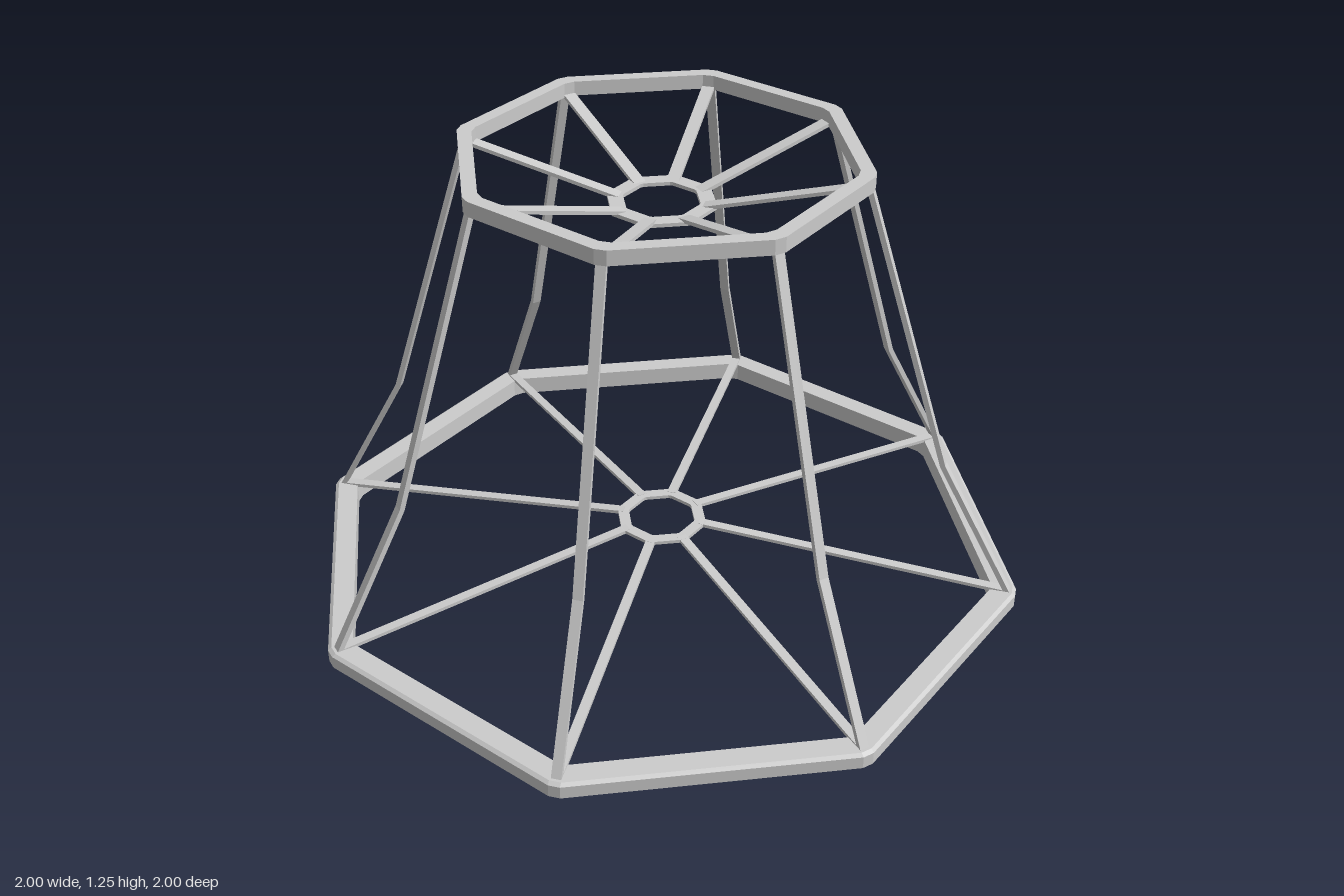
import * as THREE from 'three';

const SIDES = 8;
const material = new THREE.MeshStandardMaterial({ color: 0xcccccc, flatShading: true });

// Octagonal ring with clipped corners, swept from a closed [radius, y] profile
// (profile runs counter-clockwise with radius to the right, y up).
function ring(name, profile, clip) {
  const sections = [];
  for (let i = 0; i < SIDES; i++) {
    const a = (i / SIDES) * Math.PI * 2;
    for (const t of [-clip, clip]) {
      sections.push(profile.map(([r, y]) => [
        Math.sin(a) * r + Math.cos(a) * t, y, Math.cos(a) * r - Math.sin(a) * t,
      ]));
    }
  }
  const pos = [];
  sections.forEach((s, i) => {
    const n = sections[(i + 1) % sections.length];
    s.forEach((p, j) => {
      const k = (j + 1) % s.length;
      pos.push(...p, ...n[j], ...n[k], ...p, ...n[k], ...s[k]);
    });
  });
  const geo = new THREE.BufferGeometry();
  geo.setAttribute('position', new THREE.Float32BufferAttribute(pos, 3));
  geo.computeVertexNormals();
  const mesh = new THREE.Mesh(geo, material);
  mesh.name = name;
  return mesh;
}

// Flat bar following a bent centre line of [radius, y] points, in the x = 0 plane.
function bar(name, line, width, thick) {
  const offsets = line.map((p, i) => {
    const a = line[Math.max(i - 1, 0)];
    const b = line[Math.min(i + 1, line.length - 1)];
    const dz = b[0] - a[0], dy = b[1] - a[1];
    const len = Math.hypot(dz, dy);
    return [(-dy / len) * thick / 2, (dz / len) * thick / 2];
  });
  const side = (s) => line.map(([r, y], i) => new THREE.Vector2(r + s * offsets[i][0], y + s * offsets[i][1]));
  const shape = new THREE.Shape([...side(1), ...side(-1).reverse()]);
  const geo = new THREE.ExtrudeGeometry(shape, { depth: width, bevelEnabled: false });
  geo.translate(0, 0, -width / 2);
  geo.rotateY(-Math.PI / 2);
  const mesh = new THREE.Mesh(geo, material);
  mesh.name = name;
  return mesh;
}

export function createModel() {
  const model = new THREE.Group();
  model.name = 'lampshadeFrame';

  // Large lower and small upper rims
  model.add(ring('bottomRim', [
    [0.93, 0], [0.987, 0], [1, 0.012], [1, 0.048], [0.99, 0.055], [0.93, 0.055],
  ], 0.015));
  model.add(ring('topRim', [
    [0.495, 1.21], [0.535, 1.21], [0.535, 1.25], [0.495, 1.25],
  ], 0.015));

  // Thin central hubs
  model.add(ring('bottomHub', [[0.095, 0.108], [0.128, 0.108], [0.128, 0.118], [0.095, 0.118]], 0.004));
  model.add(ring('topHub', [[0.1, 1.106], [0.143, 1.106], [0.143, 1.116], [0.1, 1.116]], 0.004));

  // Ribs and spokes at every corner
  for (let i = 0; i < SIDES; i++) {
    const arm = new THREE.Group();
    arm.name = `arm${i + 1}`;
    arm.add(bar('rib', [[0.522, 1.22], [0.769, 0.435], [0.98, 0.045]], 0.026, 0.014));
    arm.add(bar('topSpoke', [[0.11, 1.111], [0.515, 1.218]], 0.033, 0.01));
    arm.add(bar('bottomSpoke', [[0.11, 0.114], [0.965, 0.053]], 0.026, 0.01));
    arm.rotation.y = (i / SIDES) * Math.PI * 2;
    model.add(arm);
  }
  return model;
}
